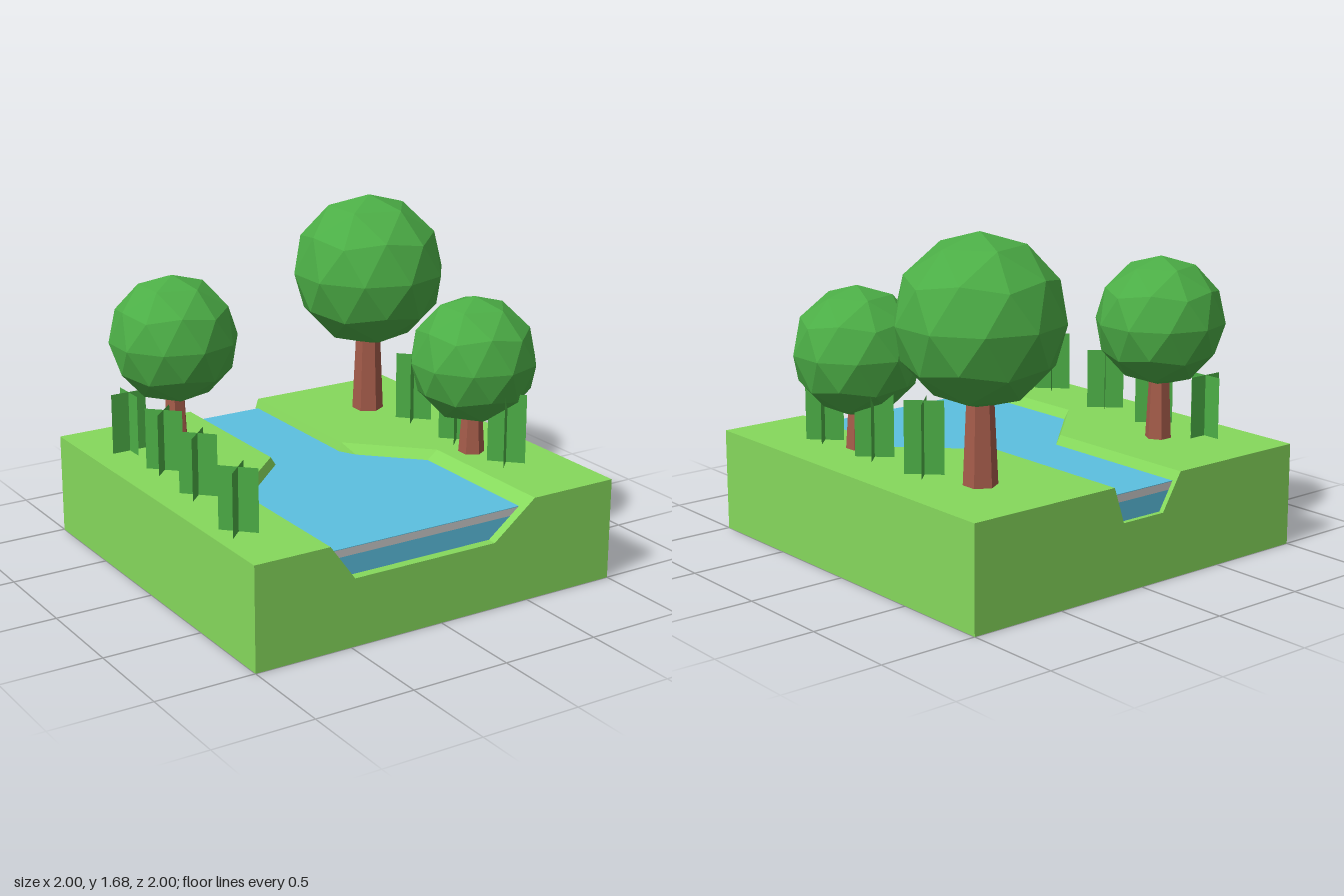
import * as THREE from 'three';

const TOP = 0.515, FLOOR = 0.335;
const mat = (color, extra = {}) => new THREE.MeshStandardMaterial({ color, flatShading: true, ...extra });

// Channel stations: z, bank top left/right, floor left/right
const channel = [
  { z: -1, tl: -0.24, tr: 0.18, fl: -0.13, fr: 0.12 },
  { z: -0.15, tl: -0.24, tr: 0.18, fl: -0.13, fr: 0.12 },
  { z: 0.2, tl: -0.61, tr: 0.53, fl: -0.48, fr: 0.3 },
  { z: 1, tl: -0.61, tr: 0.53, fl: -0.48, fr: 0.3 },
];

// Closed solid through counter-clockwise xy sections, ordered back to front
function loft(sections) {
  const pos = [];
  const n = sections[0].pts.length;
  const put = (s, i) => pos.push(s.pts[i % n][0], s.pts[i % n][1], s.z);
  for (let k = 0; k < sections.length - 1; k++) {
    const a = sections[k], b = sections[k + 1];
    for (let i = 0; i < n; i++) {
      put(a, i); put(a, i + 1); put(b, i + 1);
      put(a, i); put(b, i + 1); put(b, i);
    }
  }
  const cap = (s, flip) => {
    const contour = s.pts.map(p => new THREE.Vector2(p[0], p[1]));
    for (const f of THREE.ShapeUtils.triangulateShape(contour, [])) {
      (flip ? [f[2], f[1], f[0]] : f).forEach(i => put(s, i));
    }
  };
  cap(sections[0], true);
  cap(sections[sections.length - 1], false);
  const g = new THREE.BufferGeometry();
  g.setAttribute('position', new THREE.Float32BufferAttribute(pos, 3));
  g.computeVertexNormals();
  return g;
}

// Layer of the pond between two heights, fitted to the sloping banks
function pondLayer(y0, y1) {
  const side = (s, y) => {
    const t = (y - FLOOR) / (TOP - FLOOR);
    return [THREE.MathUtils.lerp(s.fl, s.tl, t), THREE.MathUtils.lerp(s.fr, s.tr, t)];
  };
  return loft(channel.map(s => {
    const [l0, r0] = side(s, y0), [l1, r1] = side(s, y1);
    return {
      z: THREE.MathUtils.clamp(s.z, -0.975, 0.953),
      pts: [[l0, y0], [r0, y0], [r1, y1], [l1, y1]],
    };
  }));
}

export function createModel() {
  const model = new THREE.Group();
  const grass = mat(0x86d95c), water = mat(0x5cc0e0), foam = mat(0xcccccc);
  const leaf = mat(0x4cae46), bark = mat(0xa55c4a);
  const blade = mat(0x4cae46, { side: THREE.DoubleSide });

  const add = (parent, name, geometry, material) => {
    const m = new THREE.Mesh(geometry, material);
    m.name = name;
    parent.add(m);
    return m;
  };

  // Ground block with the pond channel cut into it
  add(model, 'ground', loft(channel.map(s => ({
    z: s.z,
    pts: [[-1, 0], [1, 0], [1, TOP], [s.tr, TOP], [s.fr, FLOOR], [s.fl, FLOOR], [s.tl, TOP], [-1, TOP]],
  }))), grass);

  // Water body, pale band and surface
  add(model, 'water', pondLayer(FLOOR, 0.43), water);
  add(model, 'waterEdgeBand', pondLayer(0.43, 0.467), foam);
  add(model, 'waterSurface', pondLayer(0.467, 0.47), water);

  // Trees: tapered hexagonal trunk and faceted round crown with a vertex on top
  const crownGeo = new THREE.IcosahedronGeometry(1, 1);
  crownGeo.rotateZ(-Math.atan(2 / (1 + Math.sqrt(5))));
  const trees = [
    { x: -0.595, y: 1.107, z: -0.485, r: 0.324, turn: Math.PI / 2 },
    { x: 0.612, y: 1.28, z: -0.565, r: 0.403, turn: 0 },
    { x: 0.667, y: 1.0, z: 0.305, r: 0.323, turn: 0 },
  ];
  for (const t of trees) {
    const tree = new THREE.Group();
    tree.name = 'tree';
    tree.position.set(t.x, 0, t.z);
    const crown = add(tree, 'crown', crownGeo, leaf);
    crown.position.y = t.y;
    crown.scale.setScalar(t.r);
    const h = t.y - t.r * 0.8 - TOP;
    const trunk = add(tree, 'trunk', new THREE.CylinderGeometry(t.r * 0.155, t.r * 0.205, h, 6), bark);
    trunk.position.y = TOP + h / 2;
    trunk.rotation.y = t.turn;
    model.add(tree);
  }

  // Grass clumps: two crossed upright sheets; x, z, height, turn
  const diag = Math.PI / 4;
  const clumps = [
    [-0.862, 0.622, 0.31, diag], [-0.795, 0.12, 0.31, diag],
    [-0.772, -0.27, 0.31, diag], [-0.79, -0.615, 0.31, 0],
    [0.715, 0.53, 0.355, diag], [0.71, 0.12, 0.355, diag], [0.71, -0.272, 0.355, diag],
  ];
  for (const [x, z, h, turn] of clumps) {
    const clump = new THREE.Group();
    clump.name = 'grassClump';
    clump.position.set(x, TOP + h / 2, z);
    clump.rotation.y = turn;
    for (const a of [0, Math.PI / 2]) {
      add(clump, 'grassSheet', new THREE.PlaneGeometry(0.19, h), blade).rotation.y = a;
    }
    model.add(clump);
  }
  return model;
}
